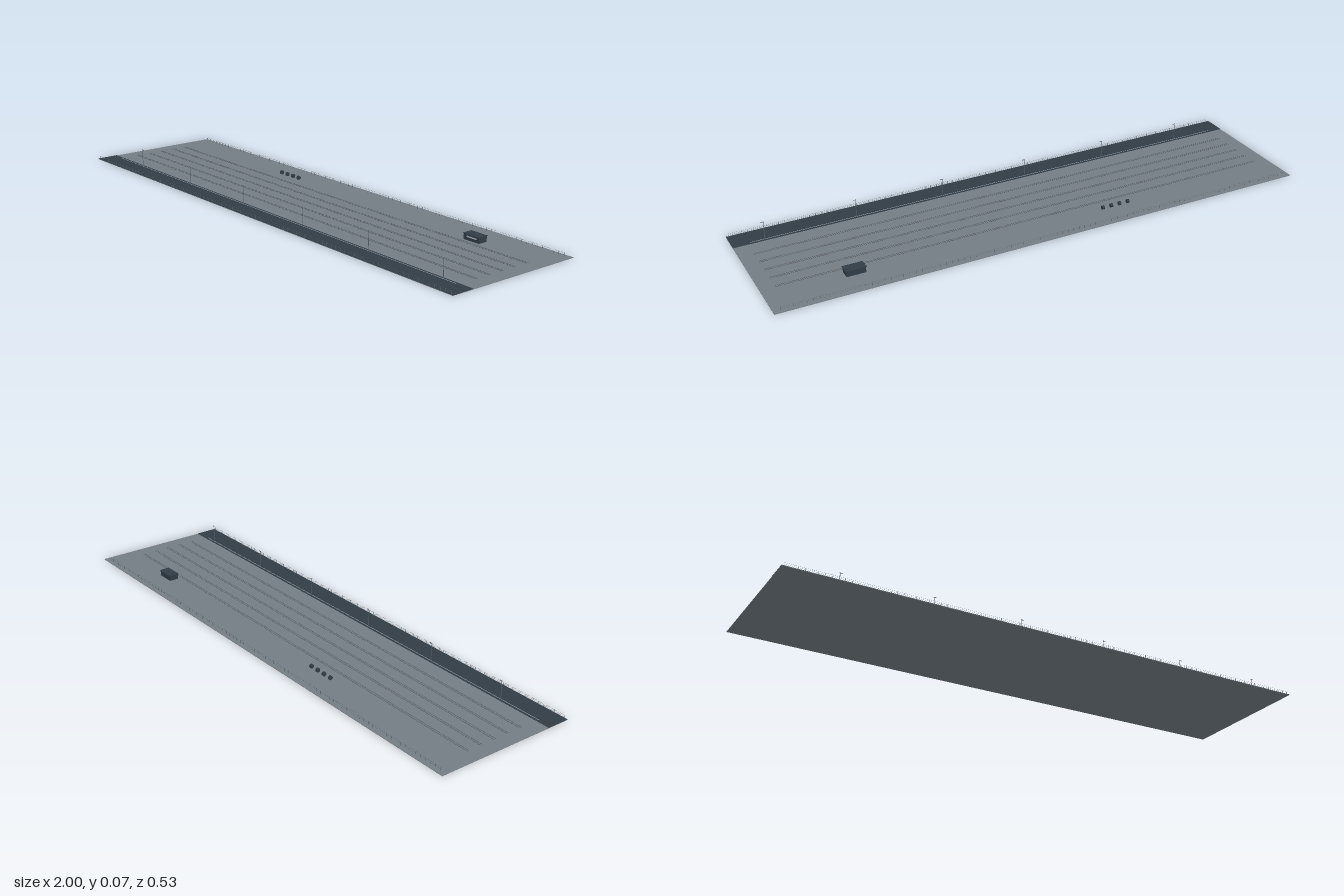
import * as THREE from 'three';

const paint = (color) => new THREE.MeshStandardMaterial({ color });
const ground = paint(0x747d84), dark = paint(0x303c46), rust = paint(0x4a4f54);
const steel = paint(0x59636b), pale = paint(0xa5adb2);

export function createModel() {
  const root = new THREE.Group();

  function add(parent, name, geometry, material, x, y, z) {
    const mesh = new THREE.Mesh(geometry, material);
    mesh.name = name;
    mesh.position.set(x, y, z);
    parent.add(mesh);
    return mesh;
  }
  // Box placed by the height of its underside
  const box = (parent, name, material, w, h, d, x, y, z) =>
    add(parent, name, new THREE.BoxGeometry(w, h, d), material, x, y + h / 2, z);

  function group(name, x = 0, y = 0, z = 0) {
    const g = new THREE.Group();
    g.name = name;
    g.position.set(x, y, z);
    root.add(g);
    return g;
  }

  // Many equal boxes along x
  function row(parent, name, material, size, count, from, to, y, z) {
    const mesh = new THREE.InstancedMesh(new THREE.BoxGeometry(...size), material, count);
    const m = new THREE.Matrix4();
    for (let i = 0; i < count; i++) {
      m.makeTranslation(from + (to - from) * i / (count - 1), y + size[1] / 2, z);
      mesh.setMatrixAt(i, m);
    }
    mesh.name = name;
    parent.add(mesh);
  }

  // Yard slab and the raised road along the front
  box(root, 'yardSlab', ground, 2, 0.0015, 0.532, 0, 0, 0);
  box(root, 'frontRoad', dark, 2, 0.0015, 0.084, 0, 0.0012, 0.223);
  box(root, 'roadEdgeLine', pale, 1.89, 0.0003, 0.002, -0.005, 0.0027, 0.19);

  // Five parallel tracks: sleepers and two rails
  for (const z of [-0.112, -0.056, 0, 0.056, 0.112]) {
    const track = group('track', 0, 0.0015, z);
    row(track, 'sleepers', ground, [0.0025, 0.0006, 0.0125], 240, -0.945, 0.945, 0, 0);
    for (const side of [-1, 1])
      box(track, 'rail', rust, 1.895, 0.0008, 0.0006, 0, 0.0005, side * 0.0038);
  }

  // Thin fences along front and back
  for (const [z, half] of [[0.263, 0.99], [-0.251, 0.975]]) {
    const fence = group('fence', 0, 0.0015, z);
    row(fence, 'fencePosts', steel, [0.0006, 0.012, 0.0006], 90, -half, half, 0, 0);
    for (const y of [0.006, 0.0115])
      box(fence, 'fenceWire', steel, 2 * half, 0.0003, 0.0003, 0, y, 0);
  }

  // Lamp posts with small heads
  for (let i = 0; i < 6; i++) {
    const lamp = group('lampPost', -0.782 + i * 0.3335, 0.0015, 0.19);
    add(lamp, 'pole', new THREE.CylinderGeometry(0.0008, 0.0012, 0.067, 6), steel, 0, 0.0335, 0);
    box(lamp, 'lampHead', steel, 0.01, 0.001, 0.003, 0.003, 0.067, 0);
  }

  // Control hut with a window band and flat roof
  const hut = group('hut', 0.69, 0.0015, -0.15);
  box(hut, 'walls', dark, 0.068, 0.02, 0.036, 0, 0, 0);
  box(hut, 'roof', dark, 0.073, 0.002, 0.04, 0, 0.02, 0);
  box(hut, 'window', pale, 0.044, 0.005, 0.0006, 0, 0.01, 0.018);

  // Four drums lying on their sides
  for (let i = 0; i < 4; i++) {
    const drum = group('drum', -0.347 + i * 0.034, 0.009, -0.166);
    const disc = (name, r, w, x) => {
      const g = new THREE.CylinderGeometry(r, r, w, 16).rotateZ(Math.PI / 2);
      add(drum, name, g, dark, x, 0, 0);
    };
    disc('core', 0.0055, 0.007, 0);
    for (const side of [-1, 1]) disc('flange', 0.0075, 0.0012, side * 0.0035);
  }

  return root;
}
